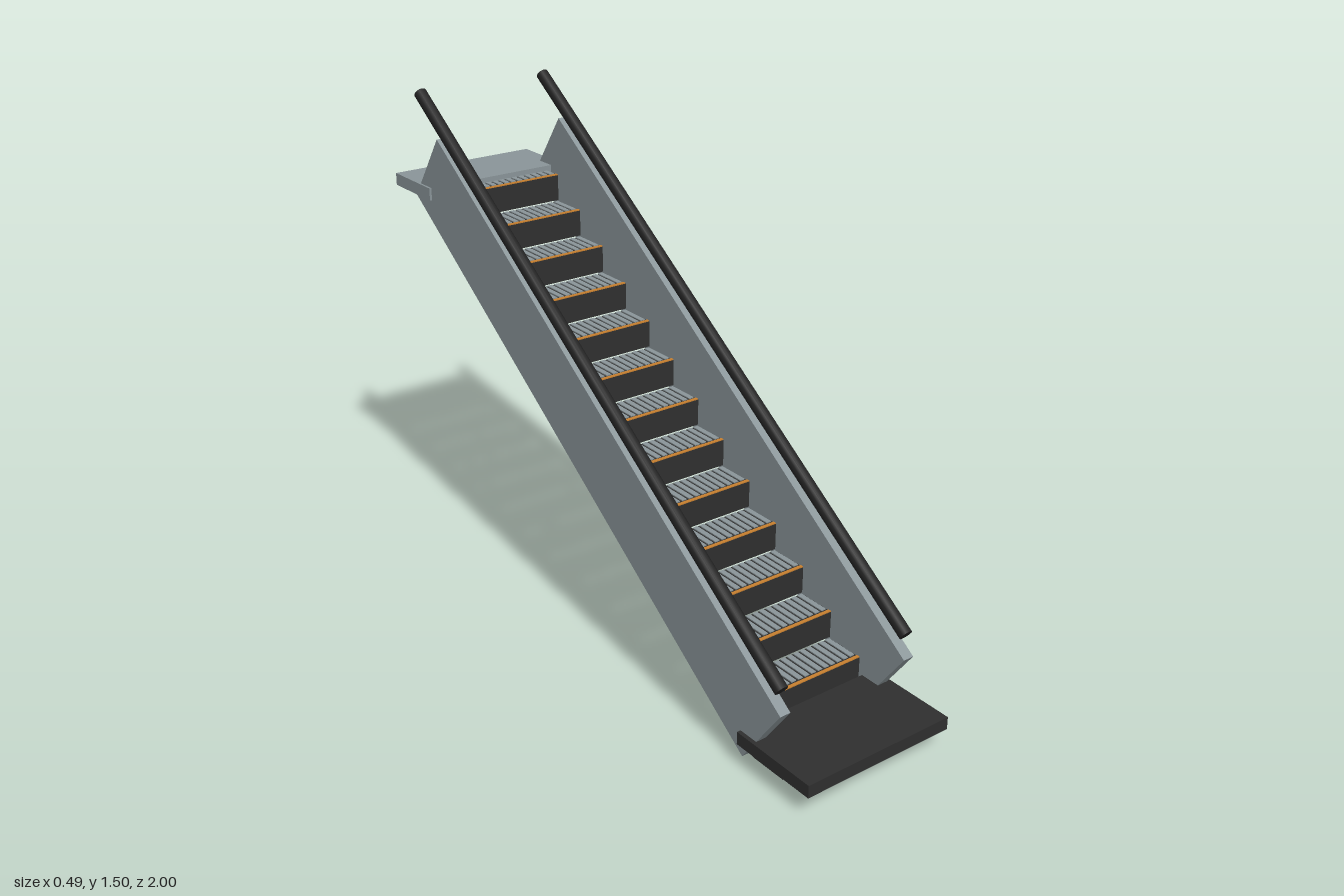
import * as THREE from 'three';

function material(name, color) {
  const m = new THREE.MeshStandardMaterial({ color });
  m.name = name;
  return m;
}

export function createModel() {
  const steel = material('grey steel', 0x8a9599);
  const dark = material('dark metal', 0x2f2f2f);
  const rubber = material('black rubber', 0x222222);
  const orange = material('orange edge', 0xc8802f);

  const model = new THREE.Group();
  model.name = 'escalator';

  function box(name, mat, size, pos, parent = model) {
    const mesh = new THREE.Mesh(new THREE.BoxGeometry(...size), mat);
    mesh.name = name;
    mesh.position.set(...pos);
    parent.add(mesh);
    return mesh;
  }

  // Landings at the bottom and the top
  box('lowerLanding', dark, [0.49, 0.038, 0.28], [0, 0.086, 0.86]);
  box('upperLanding', steel, [0.48, 0.038, 0.21], [0, 1.19, -0.895]);

  // Steps: solid block, ridged tread and coloured nosing
  const count = 14, rise = 0.0854, run = 0.121, width = 0.374;
  const blockHeight = 0.0805, ridges = 16, pitch = width / ridges;
  for (let i = 0; i < count; i++) {
    const step = new THREE.Group();
    step.name = 'step' + (i + 1);
    step.position.set(0, i * rise, 0.84 - i * run); // front lower edge
    model.add(step);
    box('stepBlock', dark, [width, blockHeight, run], [0, blockHeight / 2, -run / 2], step);
    for (let k = 0; k < ridges; k++) {
      const x = (k + 0.5) * pitch - width / 2;
      box('treadRidge', steel, [pitch * 0.68, 0.003, run - 0.02], [x, blockHeight + 0.0015, -run / 2 - 0.008], step);
    }
    box('stepNosing', orange, [width, 0.003, 0.01], [0, blockHeight + 0.0015, -0.006], step);
  }

  // Sloping side panels and handrails
  const slope = Math.atan2(rise, run);
  const low = new THREE.Vector3(0, 0.295, 0.855);
  const high = new THREE.Vector3(0, 1.485, -0.855);
  const along = high.clone().sub(low);
  for (const side of [-1, 1]) {
    const label = side > 0 ? 'left' : 'right';
    const panel = box(label + 'Panel', steel, [0.034, 0.248, 1.974], [side * 0.216, 0.699, -0.006]);
    panel.rotation.x = slope;

    const rail = new THREE.Mesh(new THREE.CylinderGeometry(0.0195, 0.0195, along.length(), 12), rubber);
    rail.name = label + 'Handrail';
    rail.position.copy(low).add(high).multiplyScalar(0.5).setX(side * 0.217);
    rail.quaternion.setFromUnitVectors(new THREE.Vector3(0, 1, 0), along.clone().normalize());
    model.add(rail);
  }

  return model;
}
